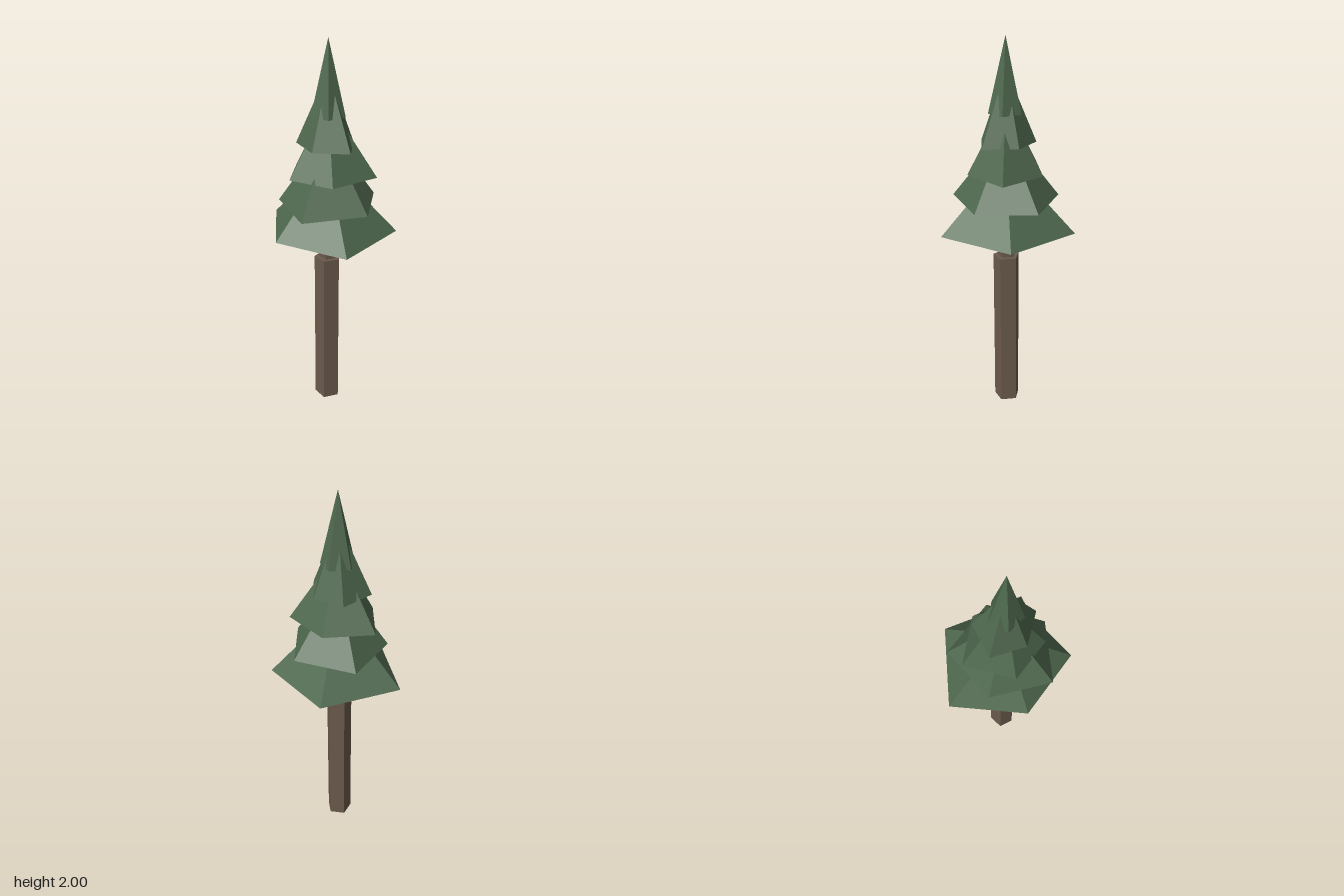
import * as THREE from 'three';

const AXIS = { x: 0.035, z: 0.03 };
const TIER_HEIGHT = 0.37;

// Rim corners [x, z] of each foliage tier, lowest first, turning from +x towards +z
const RIMS = [
  [[0.332, -0.155], [0.306, 0.257], [-0.08, 0.313], [-0.333, 0], [-0.05, -0.32]],
  [[0.296, 0.065], [0.086, 0.317], [-0.19, 0.146], [-0.167, -0.17], [0.155, -0.212]],
  [[0.258, -0.072], [0.168, 0.177], [-0.07, 0.208], [-0.199, -0.024], [0.017, -0.168]],
  [[0.198, 0.075], [0.04, 0.168], [-0.122, 0.083], [-0.058, -0.092], [0.11, -0.083]],
  [[0.119, 0.003], [0.087, 0.101], [-0.017, 0.101], [-0.049, 0.003], [0.038, -0.058]],
];

// Open five-sided cone from an uneven rim up to the tree axis
function tierGeometry(rim, y) {
  const points = [];
  rim.forEach(([x, z], i) => {
    const [nx, nz] = rim[(i + 1) % rim.length];
    points.push(x, y, z, AXIS.x, y + TIER_HEIGHT, AXIS.z, nx, y, nz);
  });
  const geometry = new THREE.BufferGeometry();
  geometry.setAttribute('position', new THREE.Float32BufferAttribute(points, 3));
  geometry.computeVertexNormals();
  return geometry;
}

export function createModel() {
  const tree = new THREE.Group();
  tree.name = 'pineTree';
  const bark = new THREE.MeshStandardMaterial({ color: 0x6b5a4c, flatShading: true });
  const needles = new THREE.MeshStandardMaterial({
    color: 0x4f684e, flatShading: true, side: THREE.DoubleSide,
  });

  // Five-sided trunk sections with one corner towards +x
  const addTrunk = (name, radius, bottom, top) => {
    const geometry = new THREE.CylinderGeometry(radius, radius, top - bottom, 5);
    geometry.rotateY(Math.PI / 2);
    const mesh = new THREE.Mesh(geometry, bark);
    mesh.name = name;
    mesh.position.set(AXIS.x, (bottom + top) / 2, AXIS.z);
    tree.add(mesh);
  };
  addTrunk('lowerTrunk', 0.07, 0, 0.873);
  addTrunk('upperTrunk', 0.046, 0.873, 1.25);

  // Overlapping foliage tiers
  const foliage = new THREE.Group();
  foliage.name = 'foliage';
  RIMS.forEach((rim, i) => {
    const mesh = new THREE.Mesh(tierGeometry(rim, 1.03 + i * 0.15), needles);
    mesh.name = `foliageTier${i + 1}`;
    foliage.add(mesh);
  });
  tree.add(foliage);
  return tree;
}
